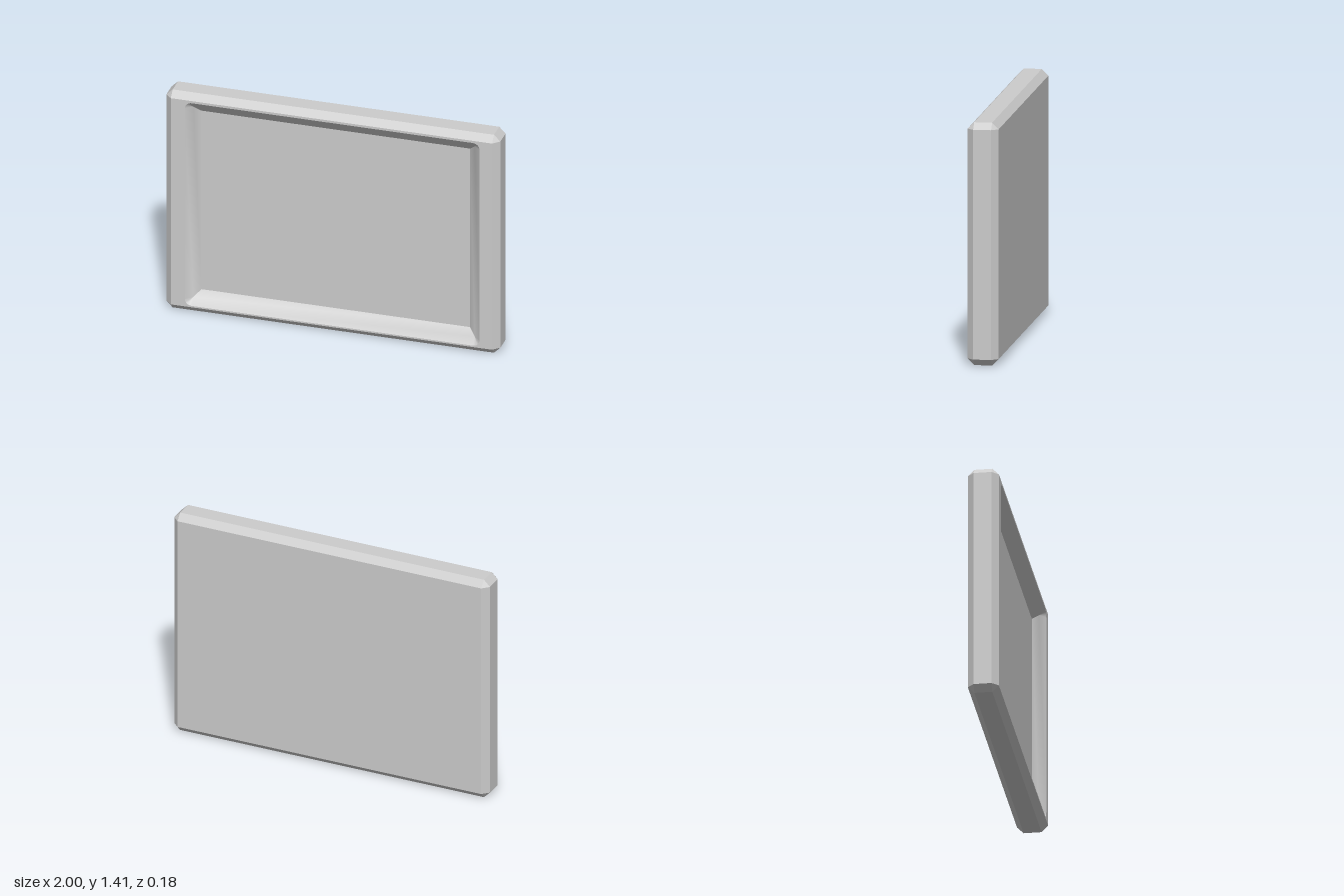
import * as THREE from 'three';
import { toCreasedNormals } from 'three/addons/utils/BufferGeometryUtils.js';

// Outer block and recess dimensions
const W = 1, H = 1.41, D = 0.09, C = 0.038;
const OPEN = { x0: -0.878, x1: 0.887, y0: 0.047, y1: 1.358 };
const R = 0.04, INSET = 0.078, DEPTH = 0.072;

// Counter-clockwise rectangle at depth z; r softens each corner with n segments
function ring({ x0, x1, y0, y1 }, r, n, z) {
  const corners = [[x1 - r, y0 + r, -1], [x1 - r, y1 - r, 0], [x0 + r, y1 - r, 1], [x0 + r, y0 + r, 2]];
  const points = [];
  for (const [cx, cy, quarter] of corners) {
    for (let i = 0; i <= n; i++) {
      const a = (quarter + i / n) * Math.PI / 2;
      points.push(new THREE.Vector3(cx + r * Math.cos(a), cy + r * Math.sin(a), z));
    }
  }
  return points;
}

const shrink = (b, d) => ({ x0: b.x0 + d, x1: b.x1 - d, y0: b.y0 + d, y1: b.y1 - d });

// Skin a sequence of rings, leaving out collapsed triangles
function loft(rings) {
  const pos = [];
  const tri = new THREE.Triangle();
  const add = (a, b, c) => {
    if (tri.set(a, b, c).getArea() > 1e-8) for (const p of [a, b, c]) pos.push(p.x, p.y, p.z);
  };
  for (let k = 0; k < rings.length - 1; k++) {
    const lo = rings[k], hi = rings[k + 1];
    for (let i = 0; i < lo.length; i++) {
      const j = (i + 1) % lo.length;
      add(lo[i], lo[j], hi[j]);
      add(lo[i], hi[j], hi[i]);
    }
  }
  const geometry = new THREE.BufferGeometry();
  geometry.setAttribute('position', new THREE.Float32BufferAttribute(pos, 3));
  geometry.computeVertexNormals();
  return geometry;
}

// Flat face bounded by one ring, optionally with a hole
function face(outline, hole) {
  const shape = new THREE.Shape(outline.map(p => new THREE.Vector2(p.x, p.y)));
  if (hole) shape.holes.push(new THREE.Path(hole.map(p => new THREE.Vector2(p.x, p.y))));
  return new THREE.ShapeGeometry(shape).translate(0, 0, outline[0].z);
}

export function createModel() {
  const group = new THREE.Group();
  const material = new THREE.MeshStandardMaterial({ color: 0xcccccc });
  const add = (name, geometry) => {
    const mesh = new THREE.Mesh(geometry, material);
    mesh.name = name;
    group.add(mesh);
    return mesh;
  };

  const outer = { x0: -W, x1: W, y0: 0, y1: H };
  const inner = shrink(outer, C);
  const opening = ring(OPEN, R, 8, D);

  // Chamfered outer sides with triangular corner facets
  add('frameSides', loft([
    ring(inner, 0, 1, -D),
    ring(outer, C, 1, -D + C),
    ring(outer, C, 1, D - C),
    ring(inner, 0, 1, D),
  ]));

  // Flat front border around the rounded opening
  add('frontBorder', face(ring(inner, 0, 1, D).filter((p, i) => i % 2 === 0), opening));

  // Sloping recess walls: rounded at the front, mitred towards the floor
  const walls = loft([
    opening,
    ring(shrink(OPEN, R), 0, 8, D - DEPTH * R / INSET),
    ring(shrink(OPEN, INSET), 0, 8, D - DEPTH),
  ]);
  add('recessWalls', toCreasedNormals(walls, 0.5));

  // Recessed panel
  const floor = ring(shrink(OPEN, INSET), 0, 1, D - DEPTH).filter((p, i) => i % 2 === 0);
  add('recessPanel', face(floor));

  // Plain back, mirrored to face -z
  const back = add('backPanel', face(ring(inner, 0, 1, D).filter((p, i) => i % 2 === 0)));
  back.rotation.y = Math.PI;

  return group;
}
